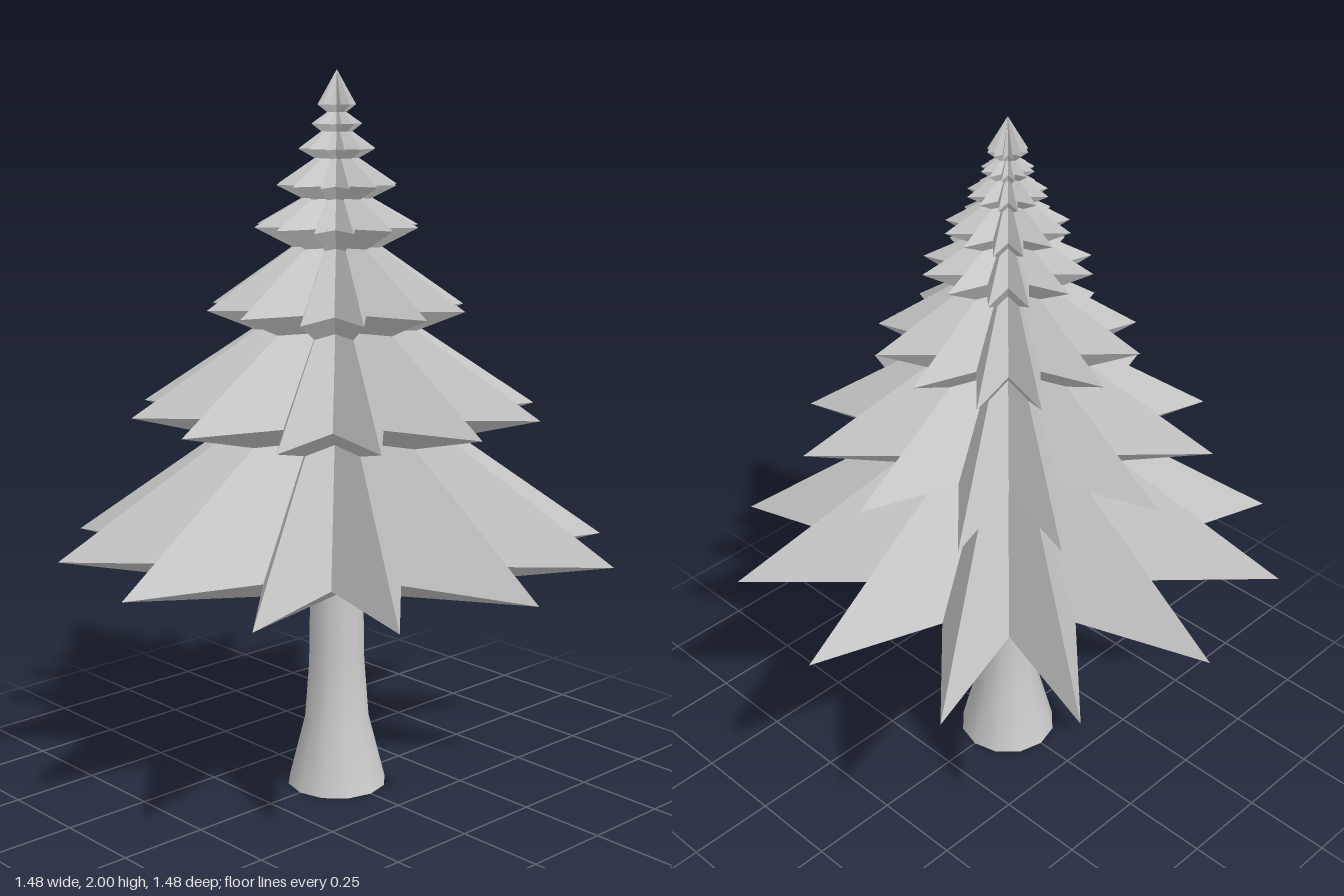
import * as THREE from 'three';

// One quarter of the unit twelve-pointed star: [angle in degrees, radius], tips and notches alternating
const QUARTER = [[0, 1], [18.4, 0.54], [31.8, 1.04], [45, 0.56], [58.2, 1.04], [71.6, 0.54]];

// Foliage levels from the bottom up: [height, tip radius], skirt edges and waists alternating
const LEVELS = [
  [0.69, 0.74], [1.02, 0.3],
  [1.08, 0.54], [1.31, 0.213],
  [1.365, 0.34], [1.53, 0.115],
  [1.585, 0.215], [1.66, 0.09],
  [1.695, 0.157], [1.765, 0.057],
  [1.79, 0.1], [1.835, 0.04],
  [1.855, 0.066], [1.885, 0.025],
  [1.905, 0.05],
];

function starRing(y, radius, round = false) {
  const ring = [];
  for (let q = 0; q < 4; q++) {
    for (const [deg, r] of QUARTER) {
      const a = THREE.MathUtils.degToRad(deg + q * 90);
      const d = round ? radius : radius * r;
      ring.push([d * Math.cos(a), y, d * Math.sin(a)]);
    }
  }
  return ring;
}

// Joins consecutive rings with outward-facing panels
function loft(rings) {
  const pos = [];
  for (let k = 0; k < rings.length - 1; k++) {
    const lo = rings[k], hi = rings[k + 1], n = lo.length;
    for (let i = 0; i < n; i++) {
      const j = (i + 1) % n;
      pos.push(...lo[i], ...hi[i], ...hi[j]);
      pos.push(...lo[i], ...hi[j], ...lo[j]);
    }
  }
  const geo = new THREE.BufferGeometry();
  geo.setAttribute('position', new THREE.Float32BufferAttribute(pos, 3));
  geo.computeVertexNormals();
  return geo;
}

export function createModel() {
  const tree = new THREE.Group();
  tree.name = 'pineTree';

  // Foliage: stacked star-shaped skirts, each tucked under the one above
  const rings = [
    starRing(0.575, 0.075, true),
    ...LEVELS.map(([y, r]) => starRing(y, r)),
    starRing(1.995, 0.0005),
  ];
  const foliage = new THREE.Mesh(
    loft(rings),
    new THREE.MeshStandardMaterial({ color: 0xcccccc, flatShading: true })
  );
  foliage.name = 'foliage';
  tree.add(foliage);

  // Trunk: smooth and flared at the foot
  const bark = new THREE.MeshStandardMaterial({ color: 0xcccccc });
  const profile = [[0.141, 0], [0.093, 0.19], [0.08, 0.36], [0.076, 0.6]];
  const trunk = new THREE.Mesh(
    new THREE.LatheGeometry(profile.map(([x, y]) => new THREE.Vector2(x, y)), 12),
    bark
  );
  trunk.name = 'trunk';
  tree.add(trunk);

  // Flat underside of the trunk
  const base = new THREE.Mesh(new THREE.CircleGeometry(0.141, 12), bark);
  base.rotation.x = Math.PI / 2;
  base.name = 'trunkBase';
  tree.add(base);

  return tree;
}
